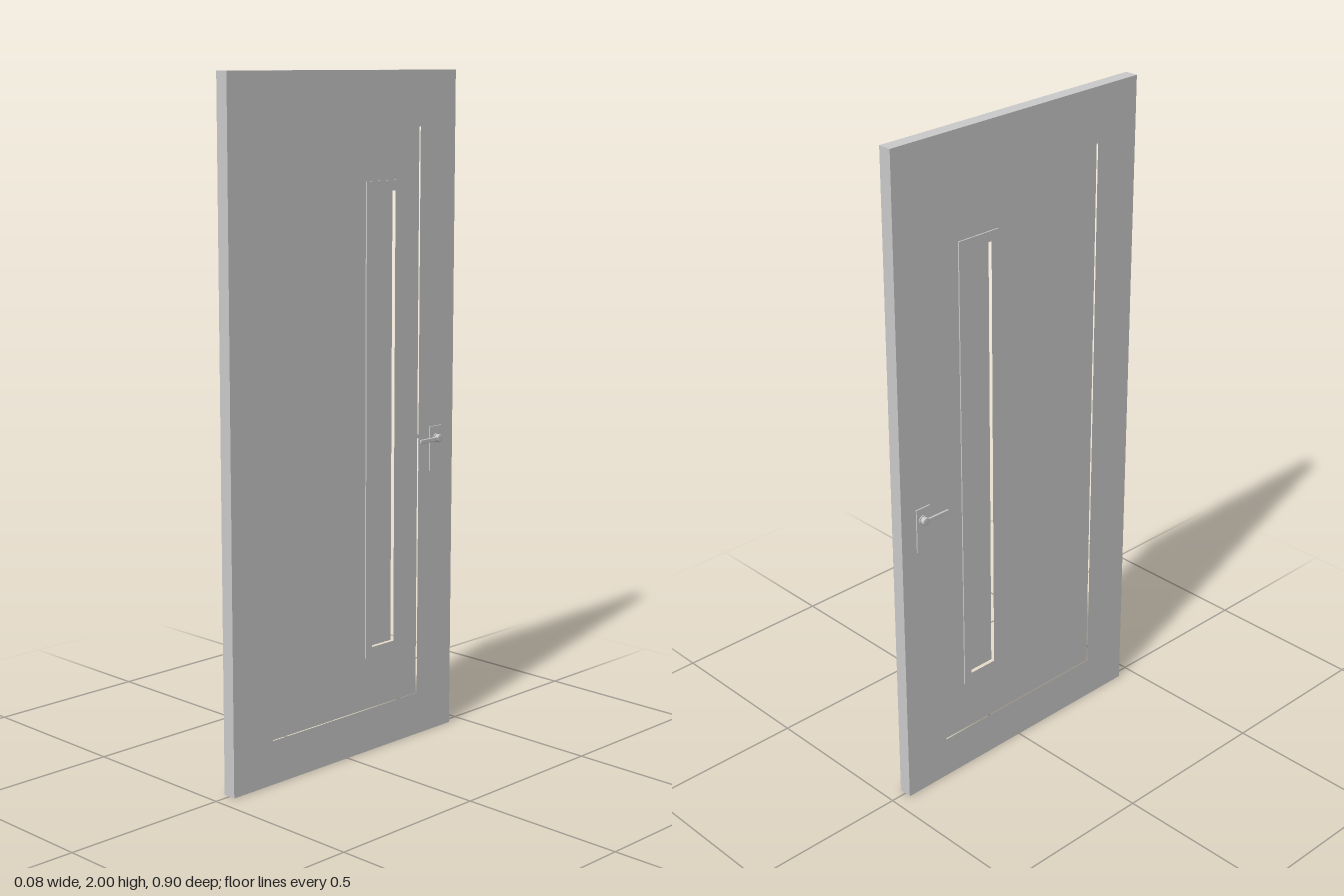
import * as THREE from 'three';
import { RoundedBoxGeometry } from 'three/addons/geometries/RoundedBoxGeometry.js';

const material = new THREE.MeshStandardMaterial({ color: 0xcccccc });

function add(parent, name, geometry, x = 0, y = 0, z = 0) {
  const mesh = new THREE.Mesh(geometry, material);
  mesh.name = name;
  mesh.position.set(x, y, z);
  parent.add(mesh);
  return mesh;
}

// Rectangles are [zMin, zMax, yMin, yMax] on the plane of the door
function corners([z0, z1, y0, y1]) {
  return [[-z0, y0], [-z1, y0], [-z1, y1], [-z0, y1]].map(p => new THREE.Vector2(...p));
}

// Slab centred on x = 0 with an optional rectangular opening
function slab(outer, thickness, opening) {
  const shape = new THREE.Shape(corners(outer));
  if (opening) shape.holes.push(new THREE.Path(corners(opening)));
  const geometry = new THREE.ExtrudeGeometry(shape, { depth: thickness, bevelEnabled: false });
  return geometry.translate(0, 0, -thickness / 2).rotateY(Math.PI / 2);
}

// Handle set for the +x face
function handleSet() {
  const handle = new THREE.Group();
  const y = 0.913, z = -0.375;
  add(handle, 'backPlate', new THREE.BoxGeometry(0.006, 0.134, 0.05), 0.021, 0.883, -0.372);
  add(handle, 'rosette', new THREE.CylinderGeometry(0.015, 0.015, 0.004, 24).rotateZ(Math.PI / 2), 0.025, y, z);

  // Spindle with a softly rounded outer end
  const profile = [[0, 0.02], [0.012, 0.02], [0.012, 0.037], [0.0112, 0.0387], [0.0095, 0.0395], [0, 0.0395]];
  const spindle = new THREE.LatheGeometry(profile.map(p => new THREE.Vector2(...p)), 24);
  add(handle, 'spindle', spindle.rotateZ(-Math.PI / 2), 0, y, z);

  add(handle, 'lever', new RoundedBoxGeometry(0.006, 0.012, 0.088, 2, 0.002), 0.0355, y, -0.335);
  return handle;
}

export function createModel() {
  const door = new THREE.Group();
  door.name = 'door';

  const leaf = [-0.45, 0.45, 0, 2];
  const panel = [-0.3, 0.3, 0.13, 1.838];
  const windowOuter = [-0.222, -0.078, 0.288, 1.69];
  const windowInner = [-0.196, -0.104, 0.318, 1.66];

  // Outer leaf, shallow recessed panel, window moulding and thin pane
  add(door, 'doorFrame', slab(leaf, 0.04, panel));
  add(door, 'recessedPanel', slab(panel, 0.03, windowOuter));
  add(door, 'windowMoulding', slab(windowOuter, 0.038, windowInner));
  add(door, 'windowPane', slab(windowInner, 0.014));

  // One handle on each face, turned about the handle axis plane and reversed
  for (const side of [1, -1]) {
    const handle = handleSet();
    handle.name = side > 0 ? 'leftHandle' : 'rightHandle';
    handle.scale.x = side;
    door.add(handle);
  }
  return door;
}
